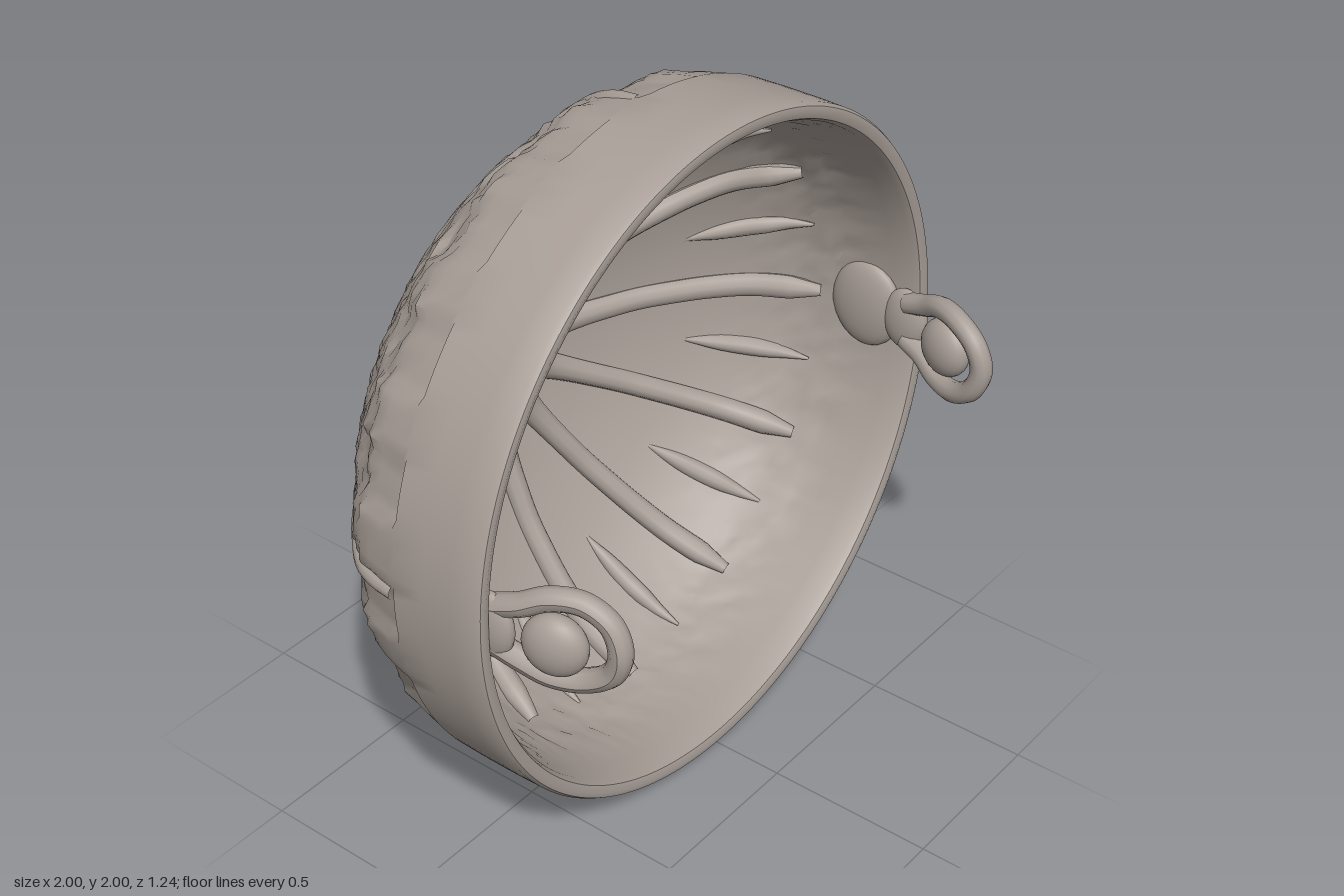
import * as THREE from 'three';
import { mergeVertices, toCreasedNormals } from 'three/addons/utils/BufferGeometryUtils.js';

const V2 = (x, y) => new THREE.Vector2(x, y);
const V3 = (x, y, z) => new THREE.Vector3(x, y, z);

// Profiles as (radius, z), from the pole outwards
const OUTER = [[0, -0.622], [0.2, -0.618], [0.37, -0.565], [0.53, -0.5], [0.7, -0.395], [0.83, -0.29], [0.91, -0.2], [0.955, -0.14]];
const INNER = [[0, -0.56], [0.2, -0.55], [0.36, -0.505], [0.52, -0.435], [0.68, -0.335], [0.8, -0.22], [0.885, -0.09], [0.925, 0.06]];
const curve = (pts) => new THREE.SplineCurve(pts.map(([r, z]) => V2(r, z)));

// Height of a profile at radius r
function heightAt(pts, r) {
  let i = 1;
  while (i < pts.length - 1 && pts[i][0] < r) i++;
  const [a, b] = [pts[i - 1], pts[i]];
  return a[1] + ((b[1] - a[1]) * (r - a[0])) / (b[0] - a[0]);
}

// Repeatable value noise in -1..1
function hash(i, j) {
  const s = Math.sin(i * 127.1 + j * 311.7) * 43758.5453;
  return (s - Math.floor(s)) * 2 - 1;
}

// Tube whose radius changes along its length
function taperedTube(points, radiusAt, segments = 32, closed = false) {
  const path = new THREE.CatmullRomCurve3(points, closed);
  const geo = new THREE.TubeGeometry(path, segments, 1, 10, closed);
  const p = geo.attributes.position;
  for (let i = 0; i <= segments; i++) {
    const c = path.getPointAt(i / segments);
    const k = radiusAt(i / segments);
    for (let j = 0; j <= 10; j++) {
      const n = i * 11 + j;
      const v = V3().fromBufferAttribute(p, n).sub(c).multiplyScalar(k).add(c);
      p.setXYZ(n, v.x, v.y, v.z);
    }
  }
  geo.computeVertexNormals();
  return geo;
}

// Bowl wall: outer dome, straight band, rounded lip, inner dome
function shellGeometry() {
  const SEG = 192;
  const profile = [
    ...curve(OUTER).getSpacedPoints(44),
    V2(0.965, -0.1), V2(0.978, -0.05), V2(0.987, -0.004), V2(0.998, 0.006),
    V2(1, 0.1), V2(1, 0.2), V2(0.998, 0.275), V2(0.99, 0.289), V2(0.975, 0.293),
    V2(0.955, 0.285), V2(0.945, 0.265), V2(0.94, 0.2), V2(0.93, 0.12),
    ...curve(INNER).getSpacedPoints(40).reverse(),
  ];
  let geo = new THREE.LatheGeometry(profile, SEG);
  const p = geo.attributes.position;
  const rows = profile.length;
  for (let n = 0; n < p.count; n++) {
    const s = Math.floor(n / rows) % SEG;
    const row = n % rows;
    const { x: r, y: z } = profile[row];
    const angle = (s / SEG) * Math.PI * 2;
    const inside = row > rows - 42;
    let d = 0;
    if (row < 45 || inside) {
      // Weathered zone, smooth towards the crown
      const edge = inside ? 0.72 : 0.42;
      d = hash(s, row) * 0.006 * THREE.MathUtils.smoothstep(r, edge, edge + 0.15);
    }
    // Shallow plates around the outside just behind the band
    if (z < -0.002 && r > 0.88 && !inside) d += 0.007 * Math.sign(Math.sin(angle * 18 + 0.4));
    const k = r > 0.001 ? (r + d) / r : 1;
    p.setXYZ(n, p.getX(n) * k, p.getY(n) - (inside ? -d : d) * 0.6, p.getZ(n) * k);
  }
  geo.deleteAttribute('normal');
  geo.deleteAttribute('uv');
  geo = mergeVertices(geo, 1e-4);
  geo.rotateX(Math.PI / 2);
  return toCreasedNormals(geo, 0.7);
}

export function createModel() {
  const model = new THREE.Group();
  model.name = 'ribbedBowl';
  const stone = new THREE.MeshStandardMaterial({ color: 0xa89e97 });
  stone.name = 'warmGrey';

  // Everything is built around the bowl's axis, then raised to stand on the ground
  const bowl = new THREE.Group();
  bowl.name = 'bowl';
  bowl.position.y = 1;
  model.add(bowl);
  const add = (name, geo, parent = bowl) => {
    const mesh = new THREE.Mesh(geo, stone);
    mesh.name = name;
    parent.add(mesh);
    return mesh;
  };

  add('shell', shellGeometry());

  // A line over the dome at a fixed angle
  const meridian = (pts, r0, r1, lift) =>
    Array.from({ length: 9 }, (_, i) => {
      const r = r0 + ((r1 - r0) * i) / 8;
      return V3(r, 0, heightAt(pts, r) + lift);
    });

  // Twelve inner ribs, flared at the hub
  const rib = taperedTube(meridian(INNER, 0.14, 0.9, 0.005), (t) =>
    0.032 + 0.028 * Math.exp(-t * 9) + 0.006 * t - 0.02 * Math.max(0, t - 0.9) * 10);
  // Short faint ribs between them, near the rim
  const shortRib = taperedTube(meridian(INNER, 0.66, 0.9, -0.008), (t) => 0.004 + 0.026 * Math.sin(t * Math.PI), 16);
  const knob = new THREE.SphereGeometry(0.024, 10, 8);
  for (let i = 0; i < 12; i++) {
    const a = (i * Math.PI) / 6;
    add('innerRib', rib).rotation.z = a;
    add('shortRib', shortRib).rotation.z = a + Math.PI / 12;
    for (const side of [-0.14, 0.14]) {
      add('hubKnob', knob).position.set(0.19 * Math.cos(a + side), 0.19 * Math.sin(a + side), -0.51);
    }
  }

  // Central boss inside the bowl
  const boss = new THREE.LatheGeometry(
    [V2(0.2, -0.57), V2(0.17, -0.535), V2(0.125, -0.52), V2(0.1, -0.48), V2(0.05, -0.45), V2(0, -0.435)], 24);
  boss.rotateX(Math.PI / 2);
  add('hubBoss', boss);

  // Four narrow ridges over the outside
  const ridge = taperedTube(
    [...meridian(OUTER, 0.38, 0.94, 0.008), V3(0.968, 0, -0.08), V3(0.975, 0, -0.01)],
    (t) => 0.009 + 0.015 * t);
  for (let i = 0; i < 4; i++) add('outerRidge', ridge).rotation.z = (i * Math.PI) / 2;

  // Small flat studs around the crown
  const stud = new THREE.SphereGeometry(0.008, 8, 6);
  for (let i = 0; i < 8; i++) {
    const a = ((i + 0.5) * Math.PI) / 4;
    add('crownStud', stud).position.set(0.22 * Math.cos(a), 0.22 * Math.sin(a), -0.612);
  }

  // Side loops: teardrop rings leaning inwards, each with a ball in its eye
  const leanX = (z) => 0.915 - 0.1 * THREE.MathUtils.smoothstep(z, 0.26, 0.58);
  const outline = [
    [0.06, 0.27], [0.085, 0.34], [0.118, 0.41], [0.118, 0.49], [0.075, 0.56], [0, 0.588],
    [-0.075, 0.56], [-0.118, 0.49], [-0.118, 0.41], [-0.085, 0.34], [-0.06, 0.27],
  ];
  const loop = taperedTube(outline.map(([y, z]) => V3(leanX(z), y, z)), () => 0.033, 60);
  for (const [name, side] of [['left', 1], ['right', -1]]) {
    const lug = new THREE.Group();
    lug.name = name + 'Lug';
    // Turned half round for the other side
    lug.rotation.z = side > 0 ? 0 : Math.PI;
    bowl.add(lug);
    add('loop', loop, lug);
    const ball = add('ball', new THREE.SphereGeometry(0.09, 24, 16), lug);
    ball.position.set(0.875, -0.01 * side, 0.43);
    ball.scale.set(0.6, 1, 1);
    ball.rotation.y = -0.28;
    const foot = add('foot', new THREE.SphereGeometry(1, 20, 14), lug);
    foot.position.set(0.92, 0, 0.26);
    foot.scale.set(0.035, 0.1, 0.075);
    const pad = add('pad', new THREE.SphereGeometry(1, 20, 14), lug);
    pad.position.set(0.925, 0, 0.12);
    pad.scale.set(0.04, 0.14, 0.12);
  }
  return model;
}
